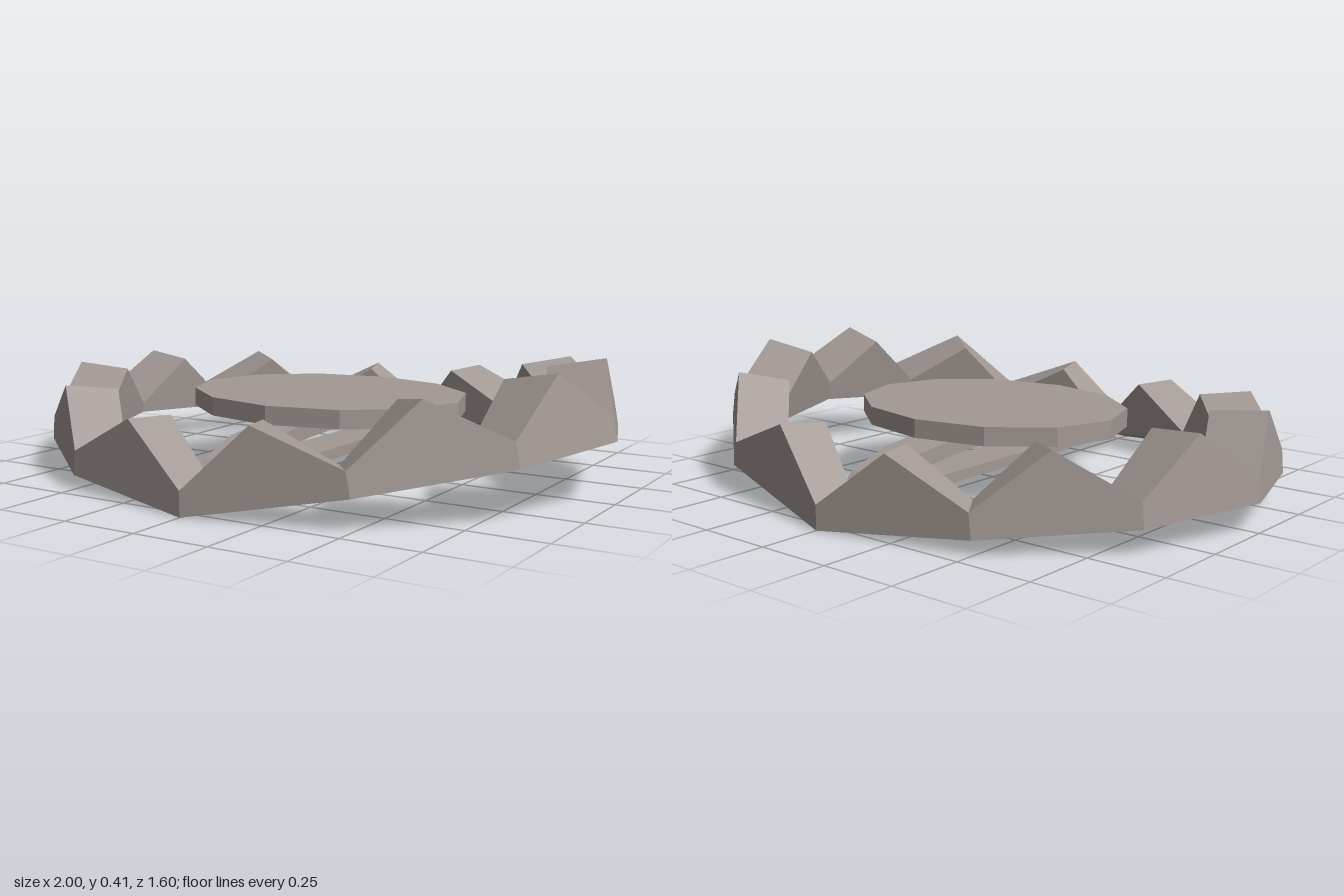
import * as THREE from 'three';

const material = new THREE.MeshStandardMaterial({ color: 0xa39995 });
const SIDES = 12;

// Moves a flat (x, height, z) point onto the band, which is bent up on both sides of x = 0
function bend(x, h, z) {
  const slope = Math.abs(x) < 0.001 ? 0 : x > 0 ? 0.19 : -0.09;
  const tilt = Math.atan(slope);
  return new THREE.Vector3(x - h * Math.sin(tilt), 0.004 + x * slope + h * Math.cos(tilt), z);
}

// Corner of the 12-sided oval
function corner(i, rx, rz) {
  const a = (i / SIDES) * Math.PI * 2;
  return new THREE.Vector2(rx * Math.cos(a), -rz * Math.sin(a));
}

// Zigzag band: a low section at each corner, a high one halfway along each side
function zigzagBand() {
  const sections = [];
  for (let i = 0; i < SIDES * 2; i++) {
    const h = i % 2 === 1 ? 0.235 : 0.078;
    const at = (rx, rz) => corner(Math.floor(i / 2), rx, rz).lerp(corner(Math.ceil(i / 2), rx, rz), 0.5);
    const o = at(1, 0.8);
    const n = at(0.805, 0.65);
    // The underside rises towards the inner edge
    const rise = 0.045 - 0.04 * Math.max(n.x, 0);
    sections.push([bend(o.x, 0, o.y), bend(o.x, h, o.y), bend(n.x, h, n.y), bend(n.x, rise, n.y)]);
  }
  const positions = [];
  const normals = [];
  sections.forEach((s, i) => {
    const n = sections[(i + 1) % sections.length];
    for (let k = 0; k < 4; k++) {
      const m = (k + 1) % 4;
      // One normal per four-sided face
      const normal = n[m].clone().sub(s[k]).cross(s[m].clone().sub(n[k])).normalize();
      for (const p of [s[k], n[k], n[m], s[k], n[m], s[m]]) {
        positions.push(...p.toArray());
        normals.push(...normal.toArray());
      }
    }
  });
  const geometry = new THREE.BufferGeometry();
  geometry.setAttribute('position', new THREE.Float32BufferAttribute(positions, 3));
  geometry.setAttribute('normal', new THREE.Float32BufferAttribute(normals, 3));
  return geometry;
}

// Arched support above a flat foot, open between the two
function archedSupport() {
  const points = (list) => list.map(([z, y]) => new THREE.Vector2(z, y));
  const mirror = (half) => [...half, ...half.slice(0, -1).reverse().map(([z, y]) => [-z, y])];
  const shape = new THREE.Shape(points(mirror(
    [[0.65, 0.055], [0.64, 0.075], [0.58, 0.13], [0.44, 0.178], [0.24, 0.2], [0, 0.21]])));
  shape.holes.push(new THREE.Path(points(mirror(
    [[0.54, 0.09], [0.42, 0.13], [0.24, 0.15], [0, 0.157]]))));
  const geometry = new THREE.ExtrudeGeometry(shape, { depth: 0.15, bevelEnabled: false });
  return geometry.rotateY(-Math.PI / 2).translate(0.073, 0, 0);
}

// Oval plate with sharp edges
function ovalPlate() {
  const geometry = new THREE.CylinderGeometry(1, 1, 0.06, SIDES).toNonIndexed();
  geometry.scale(0.48, 1, 0.375).translate(0, 0.236, -0.005);
  geometry.computeVertexNormals();
  return geometry;
}

export function createModel() {
  const group = new THREE.Group();
  const parts = { zigzagBand, archedSupport, ovalPlate };
  for (const [name, build] of Object.entries(parts)) {
    const mesh = new THREE.Mesh(build(), material);
    mesh.name = name;
    group.add(mesh);
  }
  return group;
}
